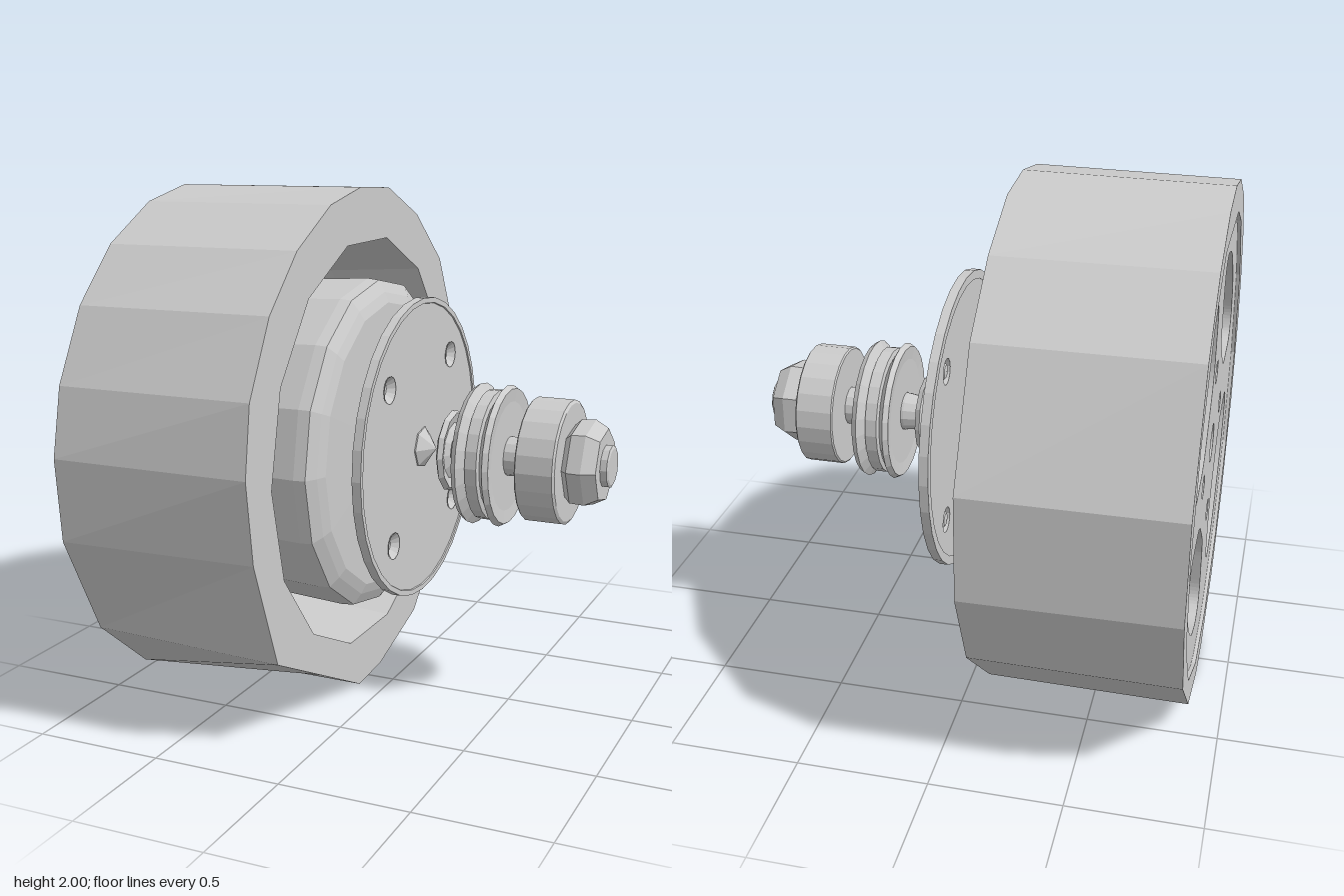
import * as THREE from 'three';

const material = new THREE.MeshStandardMaterial({ color: 0xcccccc, flatShading: true, side: THREE.DoubleSide });

function add(group, name, geometry) {
  const mesh = new THREE.Mesh(geometry, material);
  mesh.name = name;
  group.add(mesh);
  return mesh;
}

// Turned part along the x axis; profile points are [x, radius]
function turned(profile, sides) {
  const points = profile.map(([x, r]) => new THREE.Vector2(r, x));
  return new THREE.LatheGeometry(points, sides).rotateZ(-Math.PI / 2);
}

// Flat shape in the zy plane, extruded from x0 to x1
function extruded(shape, x0, x1) {
  const geometry = new THREE.ExtrudeGeometry(shape, { depth: x1 - x0, bevelEnabled: false, curveSegments: 8 });
  return geometry.translate(0, 0, x0).rotateY(Math.PI / 2);
}

function circle(radius, sides, cx = 0, cy = 0) {
  const points = [];
  for (let i = 0; i < sides; i++) {
    const a = (i / sides) * Math.PI * 2;
    points.push(new THREE.Vector2(cx + radius * Math.cos(a), cy + radius * Math.sin(a)));
  }
  return points;
}

// Closed outline with every corner rounded
function rounded(corners, amount) {
  const path = new THREE.Path();
  corners.forEach((p, i) => {
    const prev = corners[(i + corners.length - 1) % corners.length];
    const next = corners[(i + 1) % corners.length];
    const a = p.clone().lerp(prev, Math.min(0.45, amount / p.distanceTo(prev)));
    const b = p.clone().lerp(next, Math.min(0.45, amount / p.distanceTo(next)));
    if (i === 0) path.moveTo(a.x, a.y);
    else path.lineTo(a.x, a.y);
    path.quadraticCurveTo(p.x, p.y, b.x, b.y);
  });
  path.closePath();
  return path;
}

// Faceted tyre: uneven outline, rounder at the outer end, where the bore widens
function tyreGeometry() {
  const outline = [
    [0.06, 1], [-0.2, 0.985], [-0.49, 0.86], [-0.75, 0.65], [-0.985, 0.2], [-0.985, -0.2],
    [-0.83, -0.54], [-0.47, -0.87], [-0.11, -0.98], [0.1, -0.995], [0.45, -0.82], [0.79, -0.65],
    [0.95, -0.23], [0.99, 0.08], [0.95, 0.34], [0.8, 0.61], [0.59, 0.81], [0.32, 0.95],
  ].map(([z, y]) => new THREE.Vector2(-z, y));
  const shape = new THREE.Shape(outline);
  shape.holes.push(new THREE.Path(circle(0.81, 14)));
  const geometry = extruded(shape, -0.88, -0.105);
  const p = geometry.attributes.position;
  for (let i = 0; i < p.count; i++) {
    if (p.getX(i) > -0.5) continue;
    const r = Math.hypot(p.getY(i), p.getZ(i));
    const scale = (r > 0.85 ? 0.995 : 0.9) / r;
    p.setY(i, p.getY(i) * scale);
    p.setZ(i, p.getZ(i) * scale);
  }
  geometry.computeVertexNormals();
  return geometry;
}

// Wheel plate with four windows, four bolt holes and a centre hole
function wheelPlateGeometry() {
  const shape = new THREE.Shape(circle(0.89, 28));
  shape.holes.push(new THREE.Path(circle(0.075, 16)));
  const corners = [[0.35, -0.16], [0.54, -0.37], [0.65, -0.33], [0.73, -0.13],
    [0.73, 0.13], [0.65, 0.33], [0.54, 0.37], [0.35, 0.16]].map(([u, v]) => new THREE.Vector2(u, v));
  const origin = new THREE.Vector2();
  for (let i = 0; i < 4; i++) {
    const turn = (i * Math.PI) / 2 - 0.09;
    const window = corners.map((c) => c.clone().rotateAround(origin, turn + Math.PI / 4));
    shape.holes.push(rounded(window, 0.08));
    shape.holes.push(new THREE.Path(circle(0.045, 12, 0.31 * Math.cos(turn), 0.31 * Math.sin(turn))));
  }
  return extruded(shape, -0.865, -0.73);
}

export function createModel() {
  const model = new THREE.Group();
  model.name = 'explodedWheelHub';
  model.position.y = 1;

  const wheel = new THREE.Group();
  wheel.name = 'wheel';
  model.add(wheel);
  add(wheel, 'tyre', tyreGeometry());
  add(wheel, 'wheelPlate', wheelPlateGeometry());

  // Rim lining that narrows from the open end to the plate
  add(wheel, 'rimBarrel', turned([[-0.735, 0.745], [-0.5, 0.78], [-0.105, 0.81]], 14));

  // Deep brake drum with raised hub
  add(model, 'drum', turned([
    [-0.66, 0], [-0.66, 0.58], [-0.62, 0.62], [-0.105, 0.65], [-0.06, 0.645], [-0.035, 0.6],
    [-0.02, 0.56], [-0.015, 0.25], [0, 0.2], [0.035, 0.2], [0.05, 0.17], [0.05, 0],
  ], 16));

  // Thin cover disc with four countersunk bolt holes
  const cover = new THREE.Group();
  cover.name = 'cover';
  model.add(cover);
  const disc = new THREE.Shape(circle(0.58, 32));
  for (let i = 0; i < 4; i++) {
    const a = Math.PI / 4 + 0.06 + (i * Math.PI) / 2;
    const cx = 0.43 * Math.cos(a);
    const cy = 0.43 * Math.sin(a);
    disc.holes.push(new THREE.Path(circle(0.05, 14, cx, cy)));
    add(cover, 'boltSocket', turned([[0.1, 0], [0.103, 0.025], [0.13, 0.052]], 14)).position.set(0, cy, -cx);
  }
  add(cover, 'coverDisc', extruded(disc, 0.1, 0.125));
  add(cover, 'coverRim', turned([[0.095, 0.55], [0.095, 0.585], [0.13, 0.585], [0.13, 0.565], [0.095, 0.55]], 32));
  add(cover, 'coverPoint', turned([[0.055, 0], [0.1, 0.08], [0.13, 0.08], [0.185, 0]], 7));

  // Axle bolt with its dished head
  const axle = new THREE.Group();
  axle.name = 'axle';
  model.add(axle);
  add(axle, 'boltHead', turned([
    [0.225, 0], [0.225, 0.08], [0.235, 0.13], [0.25, 0.16], [0.27, 0.15], [0.258, 0.11], [0.275, 0.08],
  ], 12));
  add(axle, 'shaft', turned([[0.25, 0.06], [0.34, 0.075], [0.6, 0.075]], 14));

  // Grooved bearing between two flared flanges
  add(axle, 'bearing', turned([
    [0.35, 0.075], [0.35, 0.21], [0.345, 0.26], [0.365, 0.272], [0.39, 0.23], [0.395, 0.25], [0.44, 0.25],
    [0.445, 0.23], [0.47, 0.272], [0.49, 0.26], [0.485, 0.21], [0.485, 0.075],
  ], 24));

  // Spacer, nut and threaded tip
  add(axle, 'spacer', turned([
    [0.58, 0], [0.58, 0.23], [0.585, 0.236], [0.725, 0.236], [0.732, 0.225], [0.732, 0],
  ], 22));
  add(axle, 'nut', turned([
    [0.73, 0], [0.73, 0.14], [0.755, 0.165], [0.81, 0.168], [0.86, 0.14], [0.86, 0],
  ], 7));
  add(axle, 'tip', turned([[0.85, 0], [0.85, 0.08], [0.885, 0.08], [0.89, 0.07], [0.89, 0]], 12));

  return model;
}
